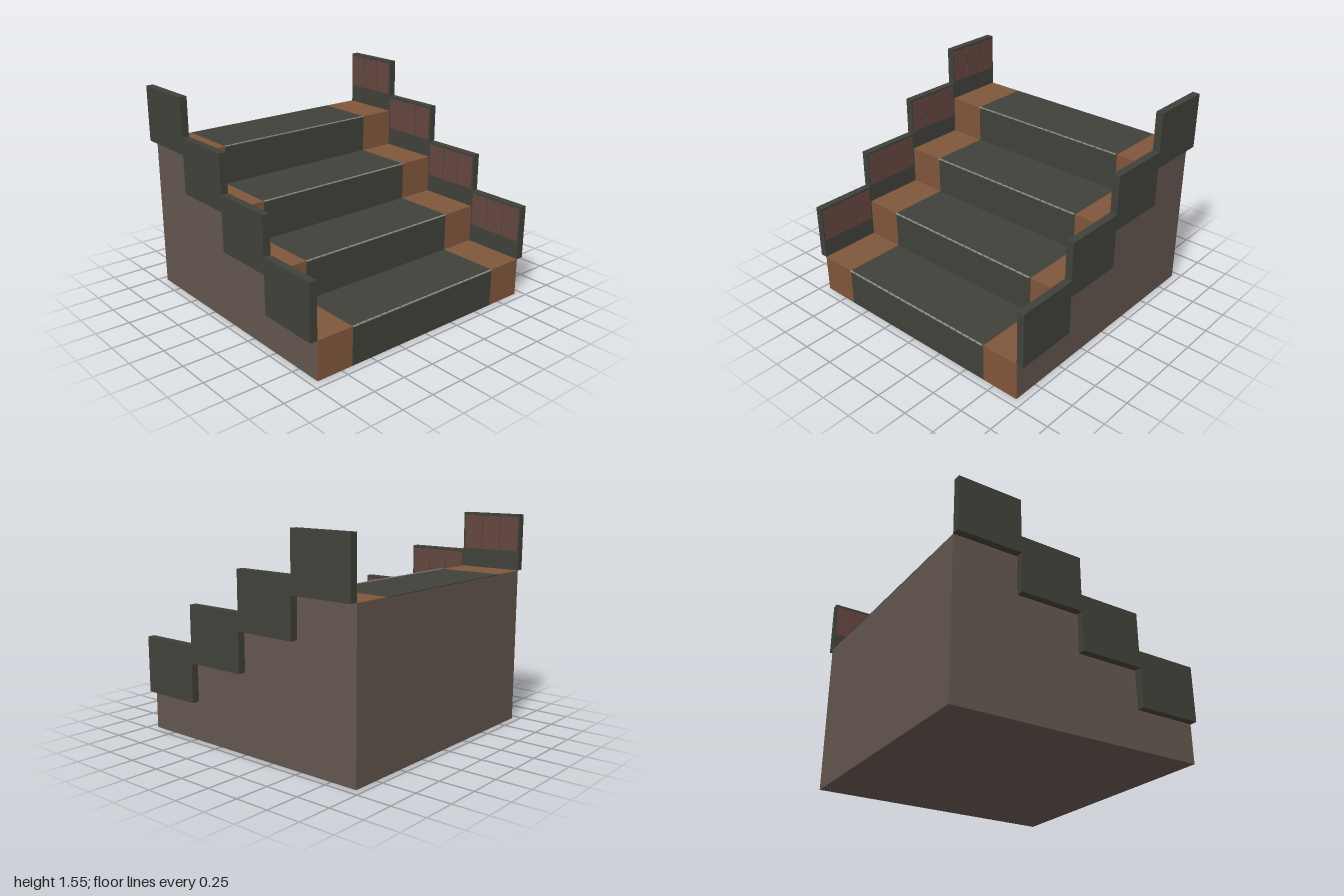
import * as THREE from 'three';
import { mergeGeometries } from 'three/addons/utils/BufferGeometryUtils.js';

const STEPS = 4, RISE = 0.285, RUN = 0.4725, FRONT = 0.94, BACK = -0.95;
const BODY_HALF = 0.945, CARPET_HALF = 0.66, SKIN = 0.006;

const mat = (name, color) => {
  const m = new THREE.MeshStandardMaterial({ color });
  m.name = name;
  return m;
};

// Stair outline as [z, y] points from the front foot to the back top, moved inward by d
function stairLine(d) {
  const pts = [[FRONT - d, 0]];
  for (let i = 0; i < STEPS; i++) {
    const y = (i + 1) * RISE - d;
    pts.push([FRONT - i * RUN - d, y]);
    pts.push([i === STEPS - 1 ? BACK : FRONT - (i + 1) * RUN - d, y]);
  }
  return pts;
}

// Extrude a [z, y] outline across x, from x0 to x1
function extrudeAcross(points, x0, x1) {
  const shape = new THREE.Shape(points.map(([z, y]) => new THREE.Vector2(z, y)));
  const geo = new THREE.ExtrudeGeometry(shape, { depth: x1 - x0, bevelEnabled: false });
  return geo.rotateY(-Math.PI / 2).translate(x1, 0, 0);
}

function box(x0, x1, y0, y1, z0, z1) {
  return new THREE.BoxGeometry(x1 - x0, y1 - y0, z1 - z0)
    .translate((x0 + x1) / 2, (y0 + y1) / 2, (z0 + z1) / 2);
}

export function createModel() {
  const stone = mat('brown stone', 0x63564e);
  const wood = mat('orange wood', 0x80563c);
  const dark = mat('dark green grey', 0x40413a);
  const red = mat('red brown panel', 0x64463f);
  const grey = mat('light grey trim', 0x8c8c86);

  const model = new THREE.Group();
  const add = (name, geo, material) => {
    const mesh = new THREE.Mesh(geo, material);
    mesh.name = name;
    model.add(mesh);
  };

  // Solid block under the stairs
  add('stairBody', extrudeAcross([...stairLine(SKIN), [BACK, 0]], -BODY_HALF, BODY_HALF), stone);

  // Thin coverings over treads and risers
  const ribbon = [...stairLine(0), ...stairLine(SKIN).reverse()];
  add('carpet', extrudeAcross(ribbon, -CARPET_HALF, CARPET_HALF), dark);
  add('leftBorder', extrudeAcross(ribbon, CARPET_HALF, BODY_HALF), wood);
  add('rightBorder', extrudeAcross(ribbon, -BODY_HALF, -CARPET_HALF), wood);

  for (let i = 0; i < STEPS; i++) {
    const y = (i + 1) * RISE;
    const z1 = FRONT - i * RUN, z0 = z1 - RUN;

    // Dashed nosing along the tread edge
    const dashes = [], count = 22, pitch = 2 * CARPET_HALF / count;
    for (let k = 0; k < count; k++) {
      const x = -CARPET_HALF + k * pitch;
      dashes.push(box(x, x + pitch - 0.008, y - 0.002, y + 0.004, z1 - 0.003, z1 + 0.01));
    }
    add('nosing', mergeGeometries(dashes), grey);

    // Side walls with three inset-coloured panels on the inner face
    for (const s of [1, -1]) {
      const side = s > 0 ? 'left' : 'right';
      const span = (a, b) => s > 0 ? [a, b] : [-b, -a];
      add(side + 'Wall', box(...span(BODY_HALF, 1), y, y + 0.41, z0, z1), dark);
      const w = (RUN - 0.02) / 3, panels = [];
      for (let k = 0; k < 3; k++) {
        const z = z0 + 0.01 + k * w;
        panels.push(box(...span(BODY_HALF - 0.003, BODY_HALF + 0.001),
          y + 0.14, y + 0.39, z + 0.003, z + w - 0.003));
      }
      add(side + 'WallPanels', mergeGeometries(panels), red);
    }
  }
  return model;
}
